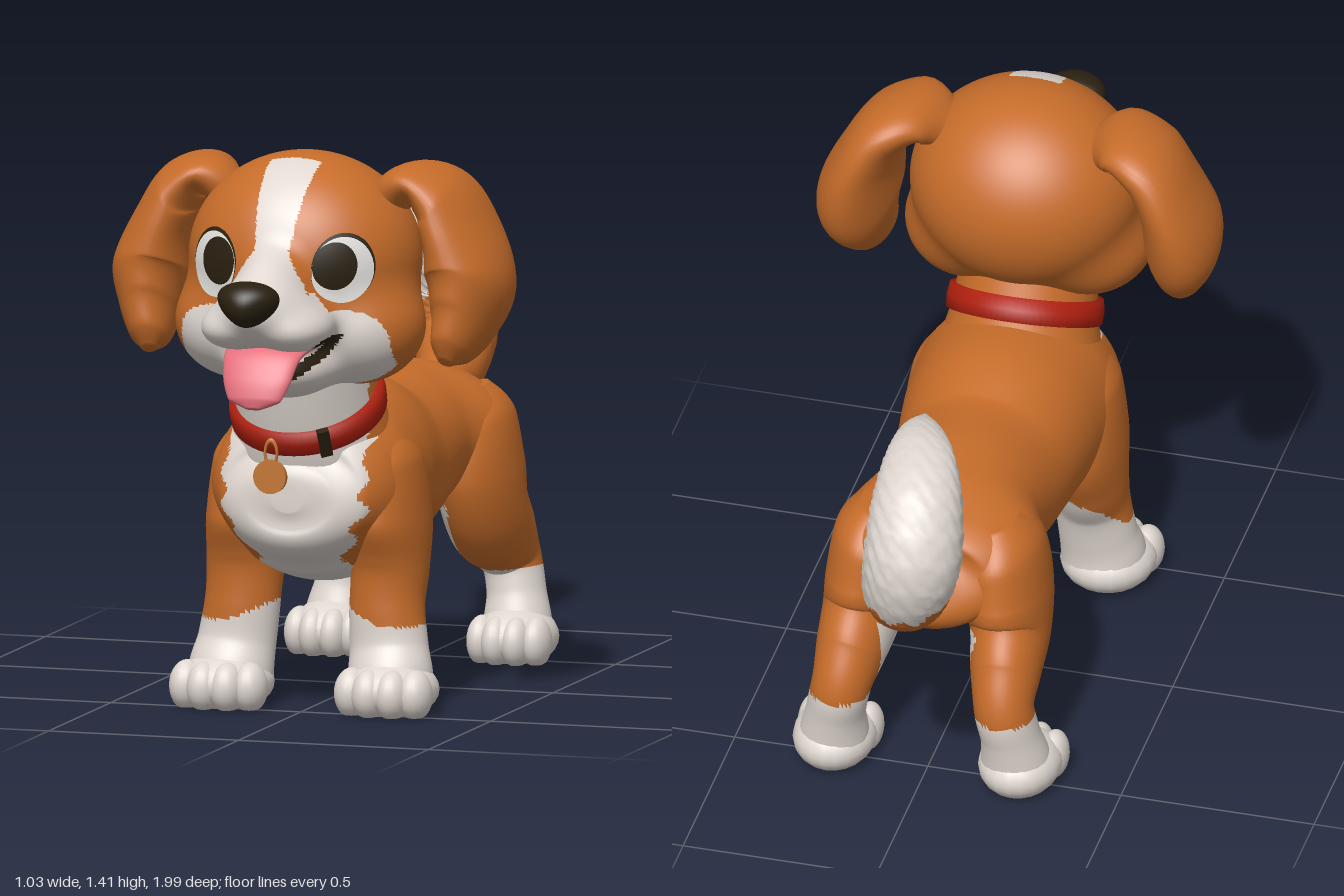
import * as THREE from 'three';
import { mergeVertices } from 'three/addons/utils/BufferGeometryUtils.js';

const mat = (name, color, side = THREE.FrontSide) => {
  const m = new THREE.MeshStandardMaterial({ color, side });
  m.name = name;
  return m;
};

// Tube of elliptical sections; each row is x, y, z, half width along `side`, half depth
function loft(rows, side, steps = 40, n = 36, bump = () => 1) {
  const path = new THREE.CatmullRomCurve3(rows.map(r => new THREE.Vector3(r[0], r[1], r[2])));
  const size = new THREE.CatmullRomCurve3(rows.map(r => new THREE.Vector3(r[3], r[4], 0)));
  const pos = [], idx = [];
  for (let i = 0; i <= steps; i++) {
    const t = i / steps, c = path.getPoint(t), r = size.getPoint(t), T = path.getTangent(t);
    const S = side.clone().addScaledVector(T, -side.dot(T)).normalize();
    const B = T.clone().cross(S);
    for (let j = 0; j < n; j++) {
      const a = j / n * Math.PI * 2, k = bump(t, a);
      const p = c.clone().addScaledVector(S, r.x * k * Math.cos(a)).addScaledVector(B, r.y * k * Math.sin(a));
      pos.push(p.x, p.y, p.z);
      const q = (j + 1) % n, o = i * n;
      if (i < steps) idx.push(o + j, o + q, o + n + j, o + q, o + n + q, o + n + j);
    }
  }
  const first = pos.length / 3, last = steps * n;
  for (const t of [0, 1]) pos.push(...path.getPoint(t).toArray());
  for (let j = 0; j < n; j++) {
    const q = (j + 1) % n;
    idx.push(first, q, j, first + 1, last + j, last + q);
  }
  const g = new THREE.BufferGeometry();
  g.setAttribute('position', new THREE.Float32BufferAttribute(pos, 3));
  g.setIndex(idx);
  g.computeVertexNormals();
  return g;
}

// Sort faces into material groups by a rule on the face centre
function paint(g, count, rule) {
  const p = g.attributes.position, ix = g.index.array, bins = Array.from({ length: count }, () => []);
  for (let i = 0; i < ix.length; i += 3) {
    const f = [ix[i], ix[i + 1], ix[i + 2]];
    const mid = k => f.reduce((s, v) => s + p.getComponent(v, k), 0) / 3;
    bins[rule(mid(0), mid(1), mid(2))].push(...f);
  }
  g.setIndex(bins.flat());
  let start = 0;
  bins.forEach((b, m) => { g.addGroup(start, b.length, m); start += b.length; });
  return g;
}

// Head volume: softly joined ellipsoids (centre, radii)
const headParts = [
  [0, 1.15, .46, .295, .265, .27],
  [.15, .99, .50, .17, .15, .18], [-.15, .99, .50, .17, .15, .18],
  [0, 1.065, .76, .11, .09, .175], [0, 1.13, .69, .075, .075, .14],
  [.08, 1.015, .765, .085, .06, .13], [-.08, 1.015, .765, .085, .06, .13],
  [0, .90, .62, .14, .085, .145],
];
function headField(x, y, z) {
  let d = 1;
  for (const [cx, cy, cz, a, b, c] of headParts) {
    const X = x - cx, Y = y - cy, Z = z - cz;
    const k0 = Math.hypot(X / a, Y / b, Z / c), k1 = Math.hypot(X / a / a, Y / b / b, Z / c / c);
    const e = k1 < 1e-6 ? -Math.min(a, b, c) : k0 * (k0 - 1) / k1;
    const k = .05, h = Math.max(k - Math.abs(d - e), 0) / k;
    d = Math.min(d, e) - h * h * k / 4;
  }
  return d;
}
function surface(at, lo, hi) {
  for (let i = 0; i < 24; i++) {
    const m = (lo + hi) / 2;
    if (headField(...at(m)) < 0) lo = m; else hi = m;
  }
  return lo;
}
function headGeometry() {
  let g = new THREE.SphereGeometry(1, 170, 120);
  g.deleteAttribute('uv');
  g.deleteAttribute('normal');
  g = mergeVertices(g, 1e-5);
  const p = g.attributes.position;
  for (let i = 0; i < p.count; i++) {
    const x = p.getX(i), y = p.getY(i), z = p.getZ(i);
    const at = r => [x * r, 1.05 + y * r, .5 + z * r];
    p.setXYZ(i, ...at(surface(at, 0, .7)));
  }
  g.computeVertexNormals();
  return g;
}
// Thin oval plate wrapped on the front of the head
function decal(cx, cy, rx, ry, lift) {
  const g = new THREE.RingGeometry(.001, 1, 40, 8), p = g.attributes.position;
  for (let i = 0; i < p.count; i++) {
    const x = cx + p.getX(i) * rx, y = cy + p.getY(i) * ry;
    p.setXYZ(i, x, y, Math.min(.75, surface(z => [x, y, z], .45, 1.1)) + lift);
  }
  g.computeVertexNormals();
  return g;
}

export function createModel() {
  const coat = mat('orange coat', 0xc66c2a), white = mat('white fur', 0xe0d7d0);
  const dark = mat('dark brown', 0x2a2010, THREE.DoubleSide), pink = mat('tongue pink', 0xe5707c);
  const red = mat('collar red', 0xb0200f, THREE.DoubleSide), brass = mat('tag brass', 0xc47534);
  const eyeWhite = mat('eye white', 0xe8e6e2);
  const fur = [coat, white], model = new THREE.Group(), X = new THREE.Vector3(1, 0, 0);
  const add = (name, g, m, parent = model) => {
    const o = new THREE.Mesh(g, m);
    o.name = name;
    parent.add(o);
    return o;
  };
  const ball = (name, m, x, y, z, a, b, c) => {
    const g = new THREE.SphereGeometry(1, 20, 14).scale(a, b, c).translate(x, y, z), p = g.attributes.position;
    for (let i = 0; i < p.count; i++) p.setY(i, Math.max(0, p.getY(i)));
    return add(name, g, m);
  };

  // Torso: z, top, bottom, half width
  const torso = [[-.57, .64, .54, .06], [-.545, .70, .46, .17], [-.46, .745, .42, .25], [-.35, .775, .40, .265],
    [-.2, .79, .39, .215], [0, .785, .335, .225], [.2, .83, .315, .25], [.35, .82, .31, .262],
    [.48, .77, .345, .24], [.56, .70, .40, .19], [.60, .64, .47, .115], [.61, .59, .52, .04]]
    .map(([z, t, b, w]) => [0, (t + b) / 2, z, w, (t - b) / 2]);
  add('torso', paint(loft(torso, X, 120, 84), 2, (x, y, z) => {
    const jag = .01 * Math.sin(y * 75) + .006 * Math.sin(z * 60);
    const chest = z > .38 && Math.abs(x) < Math.min(.18, .08 + .45 * (y - .3)) + jag;
    return chest || (z > -.33 && z < .45 && y < .37 + jag + Math.max(0, -z) * .2) ? 1 : 0;
  }), fur);
  add('neck', paint(loft([[0, .52, .30, .20, .20], [0, .66, .39, .205, .2], [0, .78, .445, .182, .186], [0, .92, .50, .17, .17]],
    X, 40, 72), 2, (x, y, z) => z > .48 && Math.abs(x) < .175 ? 1 : 0), fur);

  // Head with blaze, white muzzle and cheeks, and a smiling mouth line
  add('head', paint(headGeometry(), 3, (x, y, z) => {
    const ax = Math.abs(x), smile = .862 + 4.3 * x * x;
    if (z > .6 && z < .8 && ax < .17 && y > smile && y < Math.min(smile + .035, .99)) return 2;
    const blaze = y > 1.2 ? .045 + .11 * (y - 1.2) : .045 + .6 * (1.2 - y);
    if (y > 1.1) return z > .53 && ax < blaze ? 1 : 0;
    return z > .73 || (z > .56 && (ax / .275) ** 4 + (Math.max(0, y - .92) / .135) ** 4 < 1) ? 1 : 0;
  }), [coat, white, dark]);
  add('tongue', loft([[0, .95, .66, .09, .02], [0, .958, .74, .108, .024], [0, .94, .81, .1, .027], [0, .885, .853, .088, .025],
    [0, .84, .873, .068, .02], [0, .82, .882, .02, .008]], X), pink);

  // Nose, narrower toward the bottom and the tip
  const nose = new THREE.SphereGeometry(1, 32, 24), np = nose.attributes.position;
  for (let i = 0; i < np.count; i++) np.setX(i, np.getX(i) * (.85 + .25 * np.getY(i) - .2 * np.getZ(i)));
  nose.scale(.088, .058, .068).translate(0, 1.092, .932);
  nose.computeVertexNormals();
  add('nose', nose, dark);

  for (const s of [1, -1]) {
    const side = s > 0 ? 'left' : 'right';
    const flip = rows => rows.map(([x, ...r]) => [x * s, ...r]);
    // Eyes
    add(side + 'EyeRim', decal(s * .168, 1.156, .069, .087, .001), dark);
    add(side + 'EyeWhite', decal(s * .168, 1.151, .067, .083, .004), eyeWhite);
    add(side + 'Iris', decal(s * .153, 1.162, .05, .06, .008), dark);
    // Floppy ears
    add(side + 'Ear', loft(flip([[.19, 1.28, .44, .06, .05], [.26, 1.335, .42, .12, .055], [.335, 1.305, .40, .155, .07],
      [.385, 1.22, .395, .17, .078], [.417, 1.1, .41, .17, .098], [.41, 1.0, .46, .13, .075],
      [.395, .935, .51, .075, .048], [.39, .905, .53, .02, .018]]), new THREE.Vector3(-.12 * s, 0, 1), 50), coat);
    // Legs
    add(side + 'FrontLeg', paint(loft(flip([[.16, .70, .36, .05, .08], [.175, .62, .36, .088, .15], [.187, .48, .35, .095, .175],
      [.19, .36, .36, .095, .13], [.19, .26, .385, .095, .095], [.20, .16, .40, .1, .085],
      [.21, .08, .42, .108, .1], [.21, .03, .42, .08, .08]]), X, 70, 48), 2,
      (x, y, z) => y < .22 + Math.max(0, .2 - s * x) * .45 + Math.max(0, .36 - z) * .9 ? 1 : 0), fur);
    add(side + 'HindLeg', paint(loft(flip([[.14, .70, -.38, .06, .09], [.165, .62, -.385, .10, .16], [.18, .50, -.385, .105, .182],
      [.19, .40, -.41, .10, .155], [.20, .32, -.495, .088, .115], [.21, .25, -.55, .075, .085],
      [.225, .17, -.545, .075, .078], [.235, .08, -.525, .088, .085], [.235, .03, -.52, .07, .07]]), X, 70, 48), 2,
      (x, y, z) => y < .235 || (s * x < .14 && y < .42 && z > -.52) ? 1 : 0), fur);
    // Paws with four soft toes
    for (const [name, x, z, w] of [['Front', .217, .44, .122], ['Hind', .24, -.5, .105]]) {
      ball(side + name + 'Paw', white, s * x, .06, z, w, .078, .128);
      [-.68, -.25, .25, .68].forEach((k, i) => ball(side + name + 'Toe' + (i + 1), white,
        s * x + k * w, .055, z + (Math.abs(k) > .5 ? .058 : .08), w * .36, .064, .058));
    }
  }

  // Curled tail with shaggy tip
  const shag = (t, a) => 1 + .06 * Math.max(0, Math.min(1, t * 4 - 1)) * (((t * 22 + .5 * Math.sin(a * 7)) % 1 + 1) % 1 - .4);
  add('tail', paint(loft([[0, .66, -.44, .06, .06], [0, .67, -.58, .07, .065], [-.01, .69, -.73, .085, .085], [-.035, .77, -.84, .11, .108],
    [-.06, .89, -.868, .122, .12], [-.055, 1.0, -.81, .115, .108], [-.035, 1.07, -.71, .09, .06],
    [-.01, 1.078, -.6, .055, .034], [.01, 1.05, -.49, .008, .008]], X, 110, 48, shag), 2,
    (x, y, z) => y > Math.min(.96, .9 + .83 * (z + .73)) + .02 * Math.sin(x * 90) ? 1 : 0), fur);

  // Collar with buckle
  const collar = new THREE.Group();
  collar.name = 'collar';
  collar.position.set(0, .782, .445);
  collar.rotation.x = .49;
  model.add(collar);
  const band = [[.17, -.033], [.197, -.031], [.199, 0], [.194, .031], [.17, .033]].map(p => new THREE.Vector2(...p));
  add('collarBand', new THREE.LatheGeometry(band, 72), red, collar);
  const buckle = add('buckle', new THREE.BoxGeometry(.03, .074, .02), dark, collar);
  buckle.position.set(.095, 0, .174);
  buckle.rotation.y = .5;

  // Hanging tag
  add('tagRing', new THREE.TorusGeometry(.026, .006, 8, 24).scale(.6, 1.2, 1).translate(-.035, .672, .632), brass);
  add('tag', new THREE.CylinderGeometry(.043, .043, .014, 32).rotateX(Math.PI / 2).translate(-.037, .612, .632), brass);
  return model;
}
